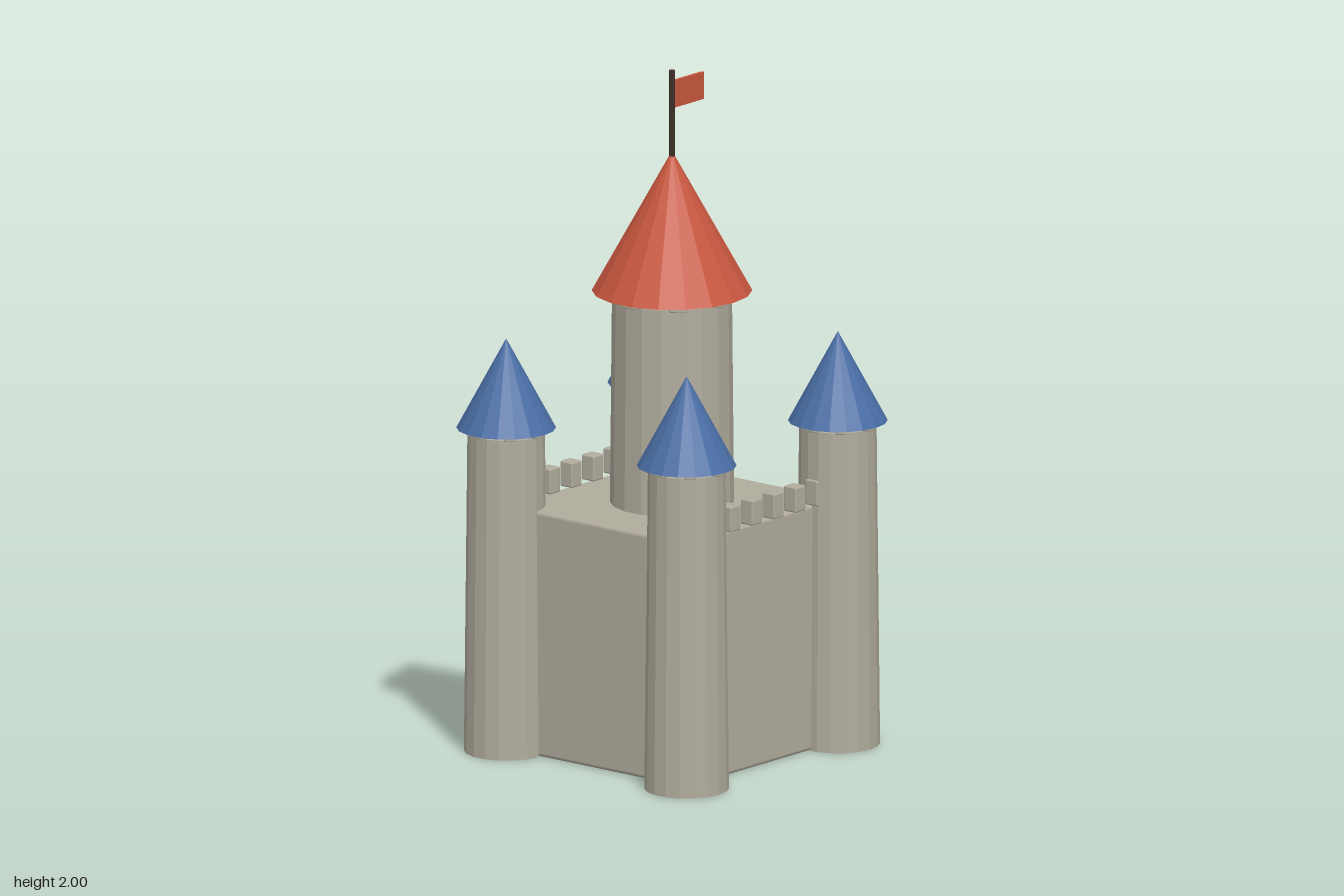
import * as THREE from 'three';
import { RoundedBoxGeometry } from 'three/addons/geometries/RoundedBoxGeometry.js';

const material = (name, color) => {
  const m = new THREE.MeshStandardMaterial({ color });
  m.name = name;
  return m;
};

export function createModel() {
  const stone = material('stone', 0xb0ab9c);
  const redRoof = material('red roof', 0xc8573f);
  const blueRoof = material('blue roof', 0x4a6ea5);
  const wood = material('wood', 0x54391f);
  const iron = material('dark pole', 0x3c3026);

  const add = (parent, name, geometry, mat, x = 0, y = 0, z = 0) => {
    const mesh = new THREE.Mesh(geometry, mat);
    mesh.name = name;
    mesh.position.set(x, y, z);
    parent.add(mesh);
    return mesh;
  };

  // Faceted round part standing on y = 0
  const faceted = (top, bottom, height, sides) => {
    const g = new THREE.CylinderGeometry(top, bottom, height, sides).toNonIndexed();
    g.translate(0, height / 2, 0);
    g.computeVertexNormals();
    return g;
  };
  const cone = (radius, height, sides) => {
    const g = new THREE.ConeGeometry(radius, height, sides).toNonIndexed();
    g.translate(0, height / 2, 0);
    g.computeVertexNormals();
    return g;
  };

  // Tapered tower with a ring of merlons under a pointed roof
  const tower = (name, o) => {
    const group = new THREE.Group();
    group.name = name;
    add(group, 'towerWall', faceted(o.top, o.bottom, o.height, o.sides), stone);
    const merlon = new RoundedBoxGeometry(o.merlon, o.merlon * 0.8, o.merlon, 1, 0.003);
    for (let i = 0; i < 8; i++) {
      const a = (i * Math.PI) / 4;
      const m = add(group, 'towerMerlon', merlon, stone,
        Math.sin(a) * o.top, o.height + o.merlon * 0.4, Math.cos(a) * o.top);
      m.rotation.y = a;
    }
    add(group, 'towerRoof', cone(o.roof, o.roofHeight, o.sides), o.roofMat, 0, o.roofY, 0);
    return group;
  };

  const castle = new THREE.Group();
  castle.name = 'castle';

  // Main block and its gate
  add(castle, 'mainBlock', new RoundedBoxGeometry(0.672, 0.725, 0.672, 2, 0.012), stone, 0, 0.3625, 0);
  add(castle, 'mainGate', new THREE.BoxGeometry(0.03, 0.245, 0.168), wood, 0.34, 0.1225, 0);

  // Merlons along the front and back walls
  const merlon = new RoundedBoxGeometry(0.046, 0.075, 0.046, 2, 0.005);
  for (const z of [-0.337, 0.337]) {
    for (let i = 0; i < 6; i++) {
      add(castle, 'wallMerlon', merlon, stone, (i - 2.5) * 0.0965, 0.7625, z);
    }
  }

  // Corner towers, each with a door facing +x
  for (const x of [-0.337, 0.337]) {
    for (const z of [-0.337, 0.337]) {
      const t = tower('cornerTower', {
        top: 0.111, bottom: 0.121, height: 0.943, sides: 18, merlon: 0.032,
        roof: 0.143, roofHeight: 0.263, roofY: 0.955, roofMat: blueRoof,
      });
      add(t, 'towerDoor', new THREE.BoxGeometry(0.022, 0.168, 0.082), wood, 0.115, 0.084, 0);
      t.position.set(x, 0, z);
      castle.add(t);
    }
  }

  // Central keep
  const keep = tower('keep', {
    top: 0.172, bottom: 0.178, height: 0.633, sides: 18, merlon: 0.05,
    roof: 0.23, roofHeight: 0.412, roofY: 0.65, roofMat: redRoof,
  });
  keep.position.y = 0.7;
  castle.add(keep);

  // Flag on its pole
  add(castle, 'flagPole', faceted(0.009, 0.009, 0.28, 8), iron, 0, 1.72, 0);
  add(castle, 'flag', new THREE.BoxGeometry(0.132, 0.08, 0.01), redRoof, 0.071, 1.929, 0);

  return castle;
}
